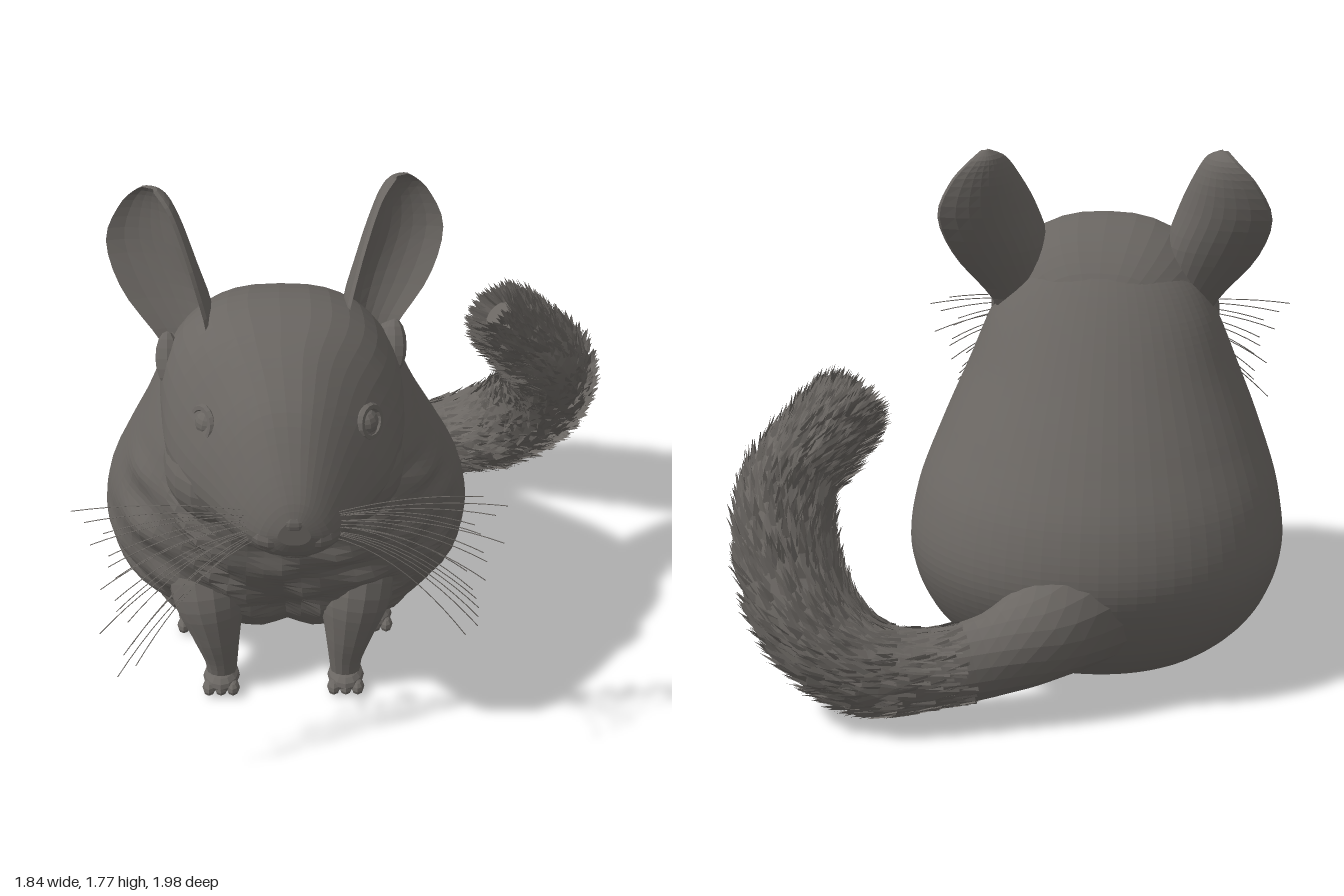
import * as THREE from 'three';
import { mergeGeometries } from 'three/addons/utils/BufferGeometryUtils.js';

const fur = new THREE.MeshStandardMaterial({ color: 0x6a6662, flatShading: true, side: THREE.DoubleSide });
fur.name = 'greyFur';

let seed = 7;
const rnd = () => (seed = (seed * 16807) % 2147483647) / 2147483647;
const V = (x, y, z) => new THREE.Vector3(x, y, z);
const step = THREE.MathUtils.smoothstep;

function add(parent, name, geometry) {
  const mesh = new THREE.Mesh(geometry, fur);
  mesh.name = name;
  parent.add(mesh);
  return mesh;
}

// Catmull-Rom resampling of a table of section measurements
function resample(rows, steps) {
  const out = [];
  for (let i = 0; i <= steps; i++) {
    const p = (i / steps) * (rows.length - 1);
    const k = Math.min(Math.floor(p), rows.length - 2), t = p - k;
    const a = rows[Math.max(k - 1, 0)], b = rows[k], c = rows[k + 1], d = rows[Math.min(k + 2, rows.length - 1)];
    out.push(b.map((v, j) => v + 0.5 * t * (c[j] - a[j] + t * (2 * a[j] - 5 * v + 4 * c[j] - d[j] + t * (3 * (v - c[j]) + d[j] - a[j])))));
  }
  return out;
}

// Closed skin over rings of equal point count, always facing outwards
function loft(rings) {
  const n = rings[0].length, pts = rings.flat(), idx = [];
  for (let r = 0; r < rings.length - 1; r++) {
    for (let i = 0; i < n; i++) {
      const a = r * n + i, b = r * n + (i + 1) % n;
      idx.push(a, b, b + n, a, b + n, a + n);
    }
  }
  [0, rings.length - 1].forEach((r) => {
    const centre = rings[r].reduce((s, p) => s.add(p), V(0, 0, 0)).divideScalar(n);
    pts.push(centre);
    for (let i = 0; i < n; i++) {
      const a = r * n + i, b = r * n + (i + 1) % n;
      idx.push(...(r === 0 ? [b, a, pts.length - 1] : [a, b, pts.length - 1]));
    }
  });
  let volume = 0;
  for (let i = 0; i < idx.length; i += 3) volume += pts[idx[i]].dot(V(0, 0, 0).crossVectors(pts[idx[i + 1]], pts[idx[i + 2]]));
  if (volume < 0) idx.reverse();
  const g = new THREE.BufferGeometry().setFromPoints(pts);
  g.setIndex(idx);
  g.computeVertexNormals();
  return g;
}

function ellipsoid(parent, name, c, s, w = 14, h = 10) {
  const m = add(parent, name, new THREE.SphereGeometry(1, w, h));
  m.position.set(...c);
  m.scale.set(...s);
  return m;
}

// Round tube through points with a radius at each: [x, y, z, r]
function taper(rows, steps, sides) {
  const s = resample(rows, steps);
  return loft(s.map((p, i) => {
    const a = s[Math.max(i - 1, 0)], b = s[Math.min(i + 1, steps)];
    const q = new THREE.Quaternion().setFromUnitVectors(V(0, 1, 0), V(b[0] - a[0], b[1] - a[1], b[2] - a[2]).normalize());
    return Array.from({ length: sides }, (_, k) => {
      const t = (k / sides) * Math.PI * 2;
      return V(Math.cos(t) * p[3], 0, Math.sin(t) * p[3]).applyQuaternion(q).add(V(p[0], p[1], p[2]));
    });
  }));
}

function bodyGeometry() {
  // height, back z, front z, half width
  const rows = [[0.015, -0.32, 0.04, 0.2], [0.06, -0.46, 0.19, 0.39], [0.2, -0.6, 0.36, 0.56], [0.4, -0.69, 0.5, 0.645],
    [0.6, -0.65, 0.59, 0.63], [0.8, -0.52, 0.645, 0.56], [1.0, -0.36, 0.62, 0.475], [1.2, -0.19, 0.48, 0.39],
    [1.33, -0.06, 0.4, 0.3], [1.42, 0.06, 0.3, 0.16]];
  const n = 64;
  return loft(resample(rows, 72).map(([y, zb, zf, hw]) => Array.from({ length: n }, (_, k) => {
    const t = (k / n) * Math.PI * 2, sx = Math.cos(t), sz = Math.sin(t);
    // draped fur folds over the chest and a groove between the fore limbs
    const mask = step(sz, 0.1, 0.6) * step(y, 0.12, 0.3) * (1 - step(y, 0.85, 1));
    const wave = Math.sin(y * 34 - Math.abs(sx) * 10 + 1.5 * Math.sin(sx * 9 + y * 6)) * (0.6 + 0.4 * Math.sin(sx * 17 + y * 13));
    const groove = step(sz, 0.8, 1) * (1 - step(y, 0.3, 0.55)) * 0.14 * Math.exp(-sx * sx * 60);
    const f = 1 + mask * 0.03 * wave - groove;
    return V(-0.25 + sx * hw * f, y, (zb + zf) / 2 + sz * (zf - zb) / 2 * f);
  })));
}

function headGeometry() {
  // z, top, bottom, half width, centre x
  const rows = [[-0.12, 1.25, 1.1, 0.1, -0.25], [-0.03, 1.36, 1.0, 0.26, -0.25], [0.1, 1.45, 0.9, 0.36, -0.25],
    [0.25, 1.495, 0.86, 0.4, -0.25], [0.4, 1.485, 0.82, 0.395, -0.24], [0.5, 1.45, 0.8, 0.365, -0.24], [0.6, 1.395, 0.8, 0.315, -0.23],
    [0.7, 1.32, 0.82, 0.245, -0.22], [0.8, 1.2, 0.86, 0.17, -0.21], [0.86, 1.11, 0.9, 0.11, -0.2], [0.885, 1.05, 0.96, 0.05, -0.2]];
  const n = 36;
  return loft(resample(rows, 32).map(([z, top, bot, hw, xc]) => Array.from({ length: n }, (_, k) => {
    const t = (k / n) * Math.PI * 2, c = Math.cos(t), s = Math.sin(t);
    // broad flat crown, narrowing above the cheeks towards the snout
    const x = Math.sign(c) * Math.abs(c) ** 0.75 * hw * (1 - (0.06 + 0.26 * step(z, 0.3, 0.6)) * Math.max(s, -0.3));
    return V(xc + x, (top + bot) / 2 + s * (top - bot) / 2, z);
  })));
}

// Cupped ear; side -1 is the right ear, +1 the left
function earGeometry(side) {
  // y, inner x, inner z, outer x, outer z, cup depth
  const rows = [[1.14, -0.55, 0.2, -0.6, 0.08, 0.05], [1.25, -0.5, 0.28, -0.66, 0.05, 0.12], [1.4, -0.48, 0.3, -0.78, -0.02, 0.17],
    [1.55, -0.52, 0.23, -0.83, -0.09, 0.15], [1.67, -0.57, 0.13, -0.78, -0.115, 0.1], [1.74, -0.61, 0.06, -0.715, -0.1, 0.05], [1.772, -0.655, -0.01, -0.675, -0.04, 0.01]];
  const n = 12;
  return loft(resample(rows, 20).map(([y, xi, zi, xo, zo, depth]) => {
    const ring = [];
    for (let k = 0; k < 2 * n; k++) {
      const front = k < n, u = front ? k / (n - 1) : (2 * n - 1 - k) / (n - 1);
      const d = Math.sin(Math.PI * u) ** 0.8 * depth + (front ? 0 : 0.018);
      const x = xi + (xo - xi) * u + 0.6 * d, z = zi + (zo - zi) * u - 0.7 * d;
      ring.push(side < 0 ? V(x, y, z + 0.07) : V(-0.245 - (x + 0.245) * 0.93, y, z - 0.01));
    }
    return ring;
  }));
}

function buildTail(group) {
  const path = [[-0.25, 0.36, -0.46, 0.26], [-0.08, 0.26, -0.66, 0.16], [0.15, 0.2, -0.765, 0.13], [0.4, 0.2, -0.82, 0.15],
    [0.6, 0.3, -0.77, 0.165], [0.725, 0.5, -0.65, 0.165], [0.735, 0.72, -0.53, 0.15], [0.63, 0.87, -0.47, 0.135], [0.56, 0.95, -0.45, 0.115], [0.525, 0.99, -0.44, 0.05]];
  add(group, 'tail', taper(path, 50, 18));
  // bristling tufts swept towards the tip
  const s = resample(path, 400), pos = [];
  for (let i = 0; i < 3600; i++) {
    const k = Math.floor(80 + rnd() * 312), p = s[k], q = s[k + 4];
    const dir = V(q[0] - p[0], q[1] - p[1], q[2] - p[2]).normalize();
    const out = V(rnd() - 0.5, rnd() - 0.5, rnd() - 0.5).cross(dir).normalize();
    const across = dir.clone().cross(out).applyAxisAngle(dir, (rnd() - 0.5) * 1.6).multiplyScalar(0.015);
    const root = V(p[0], p[1], p[2]).addScaledVector(out, p[3] * 0.98);
    const grow = step(k, 70, 150);
    const tip = root.clone().addScaledVector(dir, 0.05 + rnd() * 0.035).addScaledVector(out, (0.012 + rnd() * 0.025) * grow);
    for (const v of [root.clone().add(across), tip, root.clone().sub(across)]) pos.push(v.x, v.y, v.z);
  }
  const g = new THREE.BufferGeometry();
  g.setAttribute('position', new THREE.Float32BufferAttribute(pos, 3));
  g.computeVertexNormals();
  add(group, 'tailFur', g);
}

function whiskers(side) {
  const tubes = [];
  for (let i = 0; i < 16; i++) {
    const t = i / 15, reach = 0.7 - 0.12 * rnd() - 0.08 * t;
    const a = V(-0.2 + side * 0.1, 1.03 - t * 0.08, 0.83 - 0.03 * rnd());
    const zEnd = side < 0 ? 0.83 + 0.155 * t : 0.77 + 0.14 * t;
    const b = V(-0.2 + side * reach, 1.06 - t * (side < 0 ? 0.55 : 0.45), zEnd);
    const mid = a.clone().lerp(b, 0.5).add(V(0, 0.05 + 0.1 * t, 0));
    tubes.push(new THREE.TubeGeometry(new THREE.QuadraticBezierCurve3(a, mid, b), 10, 0.0018, 4));
  }
  return mergeGeometries(tubes);
}

function paw(group, name, x, z, size) {
  ellipsoid(group, name, [x, 0.04, z], [0.065 * size, 0.04, 0.08 * size], 12, 8);
  for (let i = -1; i <= 1; i++) ellipsoid(group, name + 'Toe', [x + i * 0.042 * size, 0.027, z + 0.05 * size], [0.024, 0.027, 0.036], 8, 6);
}

export function createModel() {
  const group = new THREE.Group();
  group.name = 'chinchilla';
  add(group, 'body', bodyGeometry());
  add(group, 'head', headGeometry());
  ellipsoid(group, 'nose', [-0.2, 1.035, 0.865], [0.05, 0.035, 0.025], 10, 8);
  ellipsoid(group, 'chin', [-0.2, 0.89, 0.77], [0.1, 0.045, 0.07], 12, 8);

  for (const side of [-1, 1]) {
    const label = side < 0 ? 'right' : 'left';
    const turn = side < 0 ? 0.07 : 0;
    add(group, label + 'Ear', earGeometry(side));
    // small folds where the ear opening meets the head
    for (let i = 0; i < 3; i++) {
      const fold = ellipsoid(group, label + 'EarFold', [-0.245 + side * (0.35 + 0.012 * i), 1.2 + 0.04 * i, 0.11 + 0.055 * i + turn], [0.04, 0.09, 0.03], 8, 8);
      fold.rotation.x = -0.5;
    }
    add(group, label + 'Whiskers', whiskers(side));
    ellipsoid(group, label + 'Muzzle', [-0.2 + side * 0.065, 0.965, 0.805], [0.085, 0.065, 0.075]);
    ellipsoid(group, label + 'Cheek', [-0.24 + side * 0.2, 0.97, 0.43], [0.2, 0.2, 0.24], 18, 14);

    // eye with a raised lid ring
    const eye = ellipsoid(group, label + 'Eye', [-0.225 + side * 0.245, 1.21, 0.56], [0.05, 0.048, 0.05], 12, 10);
    const lid = add(group, label + 'Eyelid', new THREE.TorusGeometry(0.05, 0.013, 6, 16));
    lid.position.copy(eye.position).add(V(side * 0.022, 0.008, 0.016));
    lid.rotation.set(-0.25, side * 0.95, 0, 'YXZ');

    // fore limb rising into the chest, and the hind limb tucked beneath the flank
    const x = -0.26 + side * 0.22;
    add(group, label + 'ForeLeg', taper([[x, 0.03, 0.43, 0.05], [x, 0.12, 0.43, 0.06], [x + side * 0.015, 0.24, 0.42, 0.09],
      [x + side * 0.035, 0.37, 0.38, 0.13], [x + side * 0.06, 0.55, 0.28, 0.13]], 16, 14));
    paw(group, label + 'ForePaw', x, 0.44, 1);
    ellipsoid(group, label + 'Thigh', [-0.26 + side * 0.33, 0.16, 0.02], [0.14, 0.13, 0.16]);
    paw(group, label + 'HindPaw', -0.26 + side * 0.33, 0.1, 0.95);
  }
  buildTail(group);
  return group;
}
